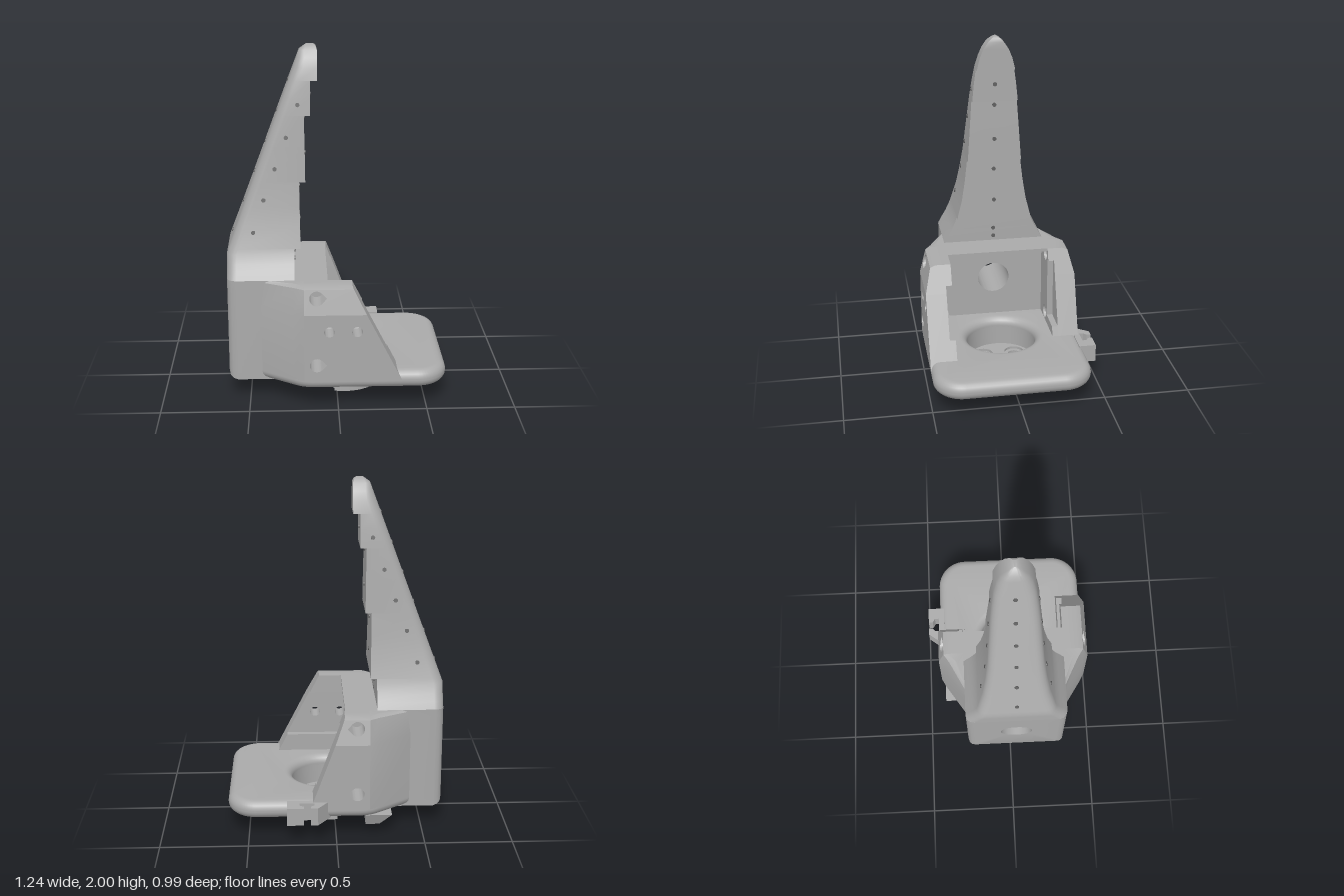
import * as THREE from 'three';
import { toCreasedNormals } from 'three/addons/utils/BufferGeometryUtils.js';

const grey = new THREE.MeshStandardMaterial({ color: 0xaaaaaa });
grey.name = 'grey plastic';
const dark = new THREE.MeshStandardMaterial({ color: 0x606060 });
dark.name = 'dark hole';

const lerp = THREE.MathUtils.lerp;
const HALF = 0.455; // half width of the base
const INNER = 0.30; // half width of the cavity
const HUB_X = 0.045;

// Skin through closed loops of [x, y, z] points, optionally capped at the end
function loft(loops, cap) {
  const all = [...loops];
  if (cap) {
    const last = loops[loops.length - 1];
    const mid = [0, 1, 2].map(k => last.reduce((s, p) => s + p[k], 0) / last.length);
    all.push(last.map(() => mid));
  }
  const n = all[0].length, index = [];
  for (let i = 0; i < all.length - 1; i++) for (let j = 0; j < n; j++) {
    const a = i * n + j, b = i * n + (j + 1) % n;
    index.push(a, b, b + n, a, b + n, a + n);
  }
  const g = new THREE.BufferGeometry();
  g.setAttribute('position', new THREE.Float32BufferAttribute(all.flat(2), 3));
  g.setIndex(index);
  return toCreasedNormals(g, 0.6);
}

const poly = pts => new THREE.Shape(pts.map(p => new THREE.Vector2(p[0], p[1])));

function disc(x, y, r) {
  const p = new THREE.Path();
  p.absarc(x, y, r, 0, Math.PI * 2);
  return p;
}

// Round hole with a point towards +x
function drop(x, y, r) {
  const p = new THREE.Path();
  p.absarc(x, y, r, Math.PI / 4, Math.PI * 7 / 4);
  p.lineTo(x + r * 1.42, y);
  p.closePath();
  return p;
}

// Upright extrusion of a plan shape (shape y is -z)
function flat(shape, y0, y1) {
  const g = new THREE.ExtrudeGeometry(shape, { depth: y1 - y0, bevelEnabled: false, curveSegments: 24 });
  return toCreasedNormals(g.rotateX(-Math.PI / 2).translate(0, y0, 0), 0.5);
}

// Side slab from zIn to a sloping outer face, s = +1 or -1
function slab(shape, s, zIn, outer) {
  const g = new THREE.ExtrudeGeometry(shape, { depth: 1, bevelEnabled: false, curveSegments: 16 });
  const p = g.attributes.position;
  for (let i = 0; i < p.count; i++) {
    const t = s > 0 ? p.getZ(i) : 1 - p.getZ(i);
    p.setZ(i, s * lerp(zIn, outer(p.getY(i)), t));
  }
  return toCreasedNormals(g, 0.4);
}

// Outer half width of the side walls by height
function wallOut(y) {
  if (y <= 0.57) return HALF;
  if (y <= 0.708) return lerp(HALF, 0.42, (y - 0.57) / 0.138);
  return lerp(0.42, 0.39, (y - 0.708) / 0.012);
}
// Sloping front edge of the side walls
const slope = (y, s) => s > 0 ? lerp(0.33, 0.08, (y - 0.23) / 0.49) : lerp(0.13, -0.05, (y - 0.23) / 0.49);

export function createModel() {
  const root = new THREE.Group();
  const body = new THREE.Group();
  body.name = 'body';
  body.position.z = 0.035;
  root.add(body);
  const add = (name, geo, mat = grey) => {
    const m = new THREE.Mesh(geo, mat);
    m.name = name;
    body.add(m);
    return m;
  };

  // Base plate with rounded rim and round pocket
  const plan = new THREE.Shape();
  plan.moveTo(-0.45, -0.28);
  plan.lineTo(-0.43, -0.30);
  plan.lineTo(-0.25, -0.42);
  plan.quadraticCurveTo(-0.2, -HALF, -0.13, -HALF);
  plan.lineTo(0.45, -HALF);
  plan.absarc(0.45, -HALF + 0.17, 0.17, -Math.PI / 2, 0);
  plan.absarc(0.45, HALF - 0.17, 0.17, 0, Math.PI / 2);
  plan.lineTo(-0.13, HALF);
  plan.quadraticCurveTo(-0.2, HALF, -0.25, 0.42);
  plan.lineTo(-0.43, 0.30);
  plan.lineTo(-0.45, 0.28);
  plan.holes.push(disc(HUB_X, 0, 0.205));
  const plate = new THREE.ExtrudeGeometry(plan, {
    depth: 0.005, bevelThickness: 0.05, bevelSize: 0.05, bevelOffset: -0.05, bevelSegments: 5, curveSegments: 20,
  });
  plate.rotateX(-Math.PI / 2).translate(0, 0.17, 0);
  add('basePlate', toCreasedNormals(plate, 0.6));

  // Hub under the plate with a drilled floor
  const ring = [[0.205, 0.17], [0.205, 0.02], [0.227, 0.02], [0.227, 0.12], [0.262, 0.12]];
  const hub = new THREE.LatheGeometry(ring.map(p => new THREE.Vector2(...p)), 64);
  const hubWall = add('hubWall', toCreasedNormals(hub.translate(HUB_X, 0, 0), 0.5), grey.clone());
  hubWall.material = grey;
  const spots = [[0.14, 0.095], [0.14, -0.095], [-0.045, 0.095], [-0.045, -0.095]];
  for (const [y0, y1, r] of [[0.02, 0.035, 0.035], [0.035, 0.05, 0.058]]) {
    const floor = new THREE.Shape().absarc(HUB_X, 0, 0.21, 0, Math.PI * 2);
    floor.holes.push(drop(HUB_X, 0, 0.05), ...spots.map(([x, z]) => drop(x, z, r)));
    add('hubFloor', flat(floor, y0, y1));
  }
  const cut = Math.acos(-0.06 / 0.227);
  const foot = new THREE.Shape().absarc(HUB_X, 0, 0.227, -cut, cut);
  foot.holes.push(drop(HUB_X, 0, 0.05), drop(0.14, 0.095, 0.035), drop(0.14, -0.095, 0.035));
  add('hubFoot', flat(foot, 0, 0.021));

  // Rear block with a round bore along x
  const rect = (x, hw, y0) => {
    const c = [[hw, y0], [hw, 0.72], [-hw, 0.72], [-hw, y0]], out = [];
    for (let k = 0; k < 4; k++) for (let i = 0; i < 14; i++) {
      const a = c[k], b = c[(k + 1) % 4];
      out.push([x, lerp(a[1], b[1], i / 14), lerp(a[0], b[0], i / 14)]);
    }
    return out;
  };
  const full = rect(-0.24, INNER, 0.12);
  const bore = x => full.map(p => {
    const a = Math.atan2(p[1] - 0.47, p[2]);
    return [x, 0.47 + 0.095 * Math.sin(a), 0.095 * Math.cos(a)];
  });
  add('rearBlock', loft([
    full, rect(-0.57, INNER, 0.12), rect(-0.595, 0.293, 0.127), rect(-0.613, 0.275, 0.14),
    rect(-0.62, 0.25, 0.16), bore(-0.62), bore(-0.24), full,
  ]));

  // Stepped horn: [y, half width, front x]
  const horn = [
    [0.72, 0.30, -0.24], [0.76, 0.278, -0.24], [0.80, 0.254, -0.24], [0.85, 0.231, -0.24], [0.88, 0.222, -0.24],
    [0.88, 0.222, -0.205], [1.0, 0.192, -0.207], [1.12, 0.173, -0.208], [1.25, 0.158, -0.21],
    [1.25, 0.158, -0.175], [1.45, 0.144, -0.177], [1.62, 0.132, -0.18],
    [1.62, 0.132, -0.145], [1.72, 0.122, -0.145], [1.81, 0.11, -0.145],
    [1.81, 0.11, -0.105], [1.88, 0.093, -0.105], [1.93, 0.073, -0.105], [1.97, 0.046, -0.105],
    [1.99, 0.024, -0.112], [2.0, 0.008, -0.125],
  ];
  const backX = y => y < 0.85 ? -0.62 : y > 1.97 ? lerp(-0.204, -0.165, (y - 1.97) / 0.03) : lerp(-0.62, -0.204, (y - 0.85) / 1.12);
  add('horn', loft(horn.map(([y, hw, fx]) => {
    const bx = backX(y), r = Math.min(0.055, hw * 0.6, (fx - bx) * 0.6);
    const pts = [[fx, y, hw], [fx, y, -hw]];
    for (const s of [-1, 1]) for (let i = 0; i <= 5; i++) {
      const a = (s < 0 ? i : 5 - i) / 5 * Math.PI / 2;
      pts.push([bx + r - r * Math.sin(a), y, s * (hw - r + r * Math.cos(a))]);
    }
    return pts;
  }), true));

  // Pin holes on the sides, front and back of the horn
  const pin = (x, y, z, dir) => {
    const m = add('pinHole', new THREE.CylinderGeometry(0.012, 0.012, 0.009, 12), dark);
    m.position.set(x, y, z);
    m.quaternion.setFromUnitVectors(new THREE.Vector3(0, 1, 0), new THREE.Vector3(...dir).normalize());
  };
  const width = y => {
    const i = horn.findIndex(h => h[0] > y), a = horn[i - 1], b = horn[i];
    return lerp(a[1], b[1], (y - a[0]) / (b[0] - a[0]));
  };
  for (const [x, y] of [[-0.47, 0.97], [-0.41, 1.15], [-0.345, 1.325], [-0.28, 1.5], [-0.215, 1.68]])
    for (const s of [-1, 1]) pin(x, y, s * width(y), [0, 0.2, s]);
  for (const [x, y] of [[-0.145, 1.72], [-0.176, 1.59], [-0.176, 1.385], [-0.208, 1.19], [-0.207, 0.995], [-0.24, 0.80], [-0.24, 0.75]])
    pin(x, y, 0, [1, 0, 0]);
  for (let i = 0; i < 6; i++) {
    const y = 0.93 + i * 0.175;
    pin(backX(y), y, 0, [-1.12, 0.416, 0]);
  }

  // Side walls with sloping fronts, inner notches and screw holes
  for (const s of [1, -1]) {
    const [n0, n1, nx] = s > 0 ? [0.33, 0.61, -0.1] : [0.28, 0.65, -0.05];
    const screws = [drop(-0.12, 0.27, 0.04), drop(-0.12, 0.66, 0.04)];
    const lining = poly([
      [-0.19, 0.175], [slope(0.175, s), 0.175], [slope(n0, s), n0], [nx, n0],
      [nx, n1], [slope(n1, s), n1], [slope(0.72, s), 0.72], [-0.19, 0.72],
    ]);
    lining.holes.push(...screws);
    add('wallLining', slab(lining, s, INNER, () => INNER + 0.035));
    const bands = [0.175, 0.57, 0.708, 0.72];
    for (let i = 0; i < 3; i++) {
      const [a, b] = [bands[i], bands[i + 1]];
      const panel = poly([[-0.19, a], [slope(a, s), a], [slope(b, s), b], [-0.19, b]]);
      if (i < 2) panel.holes.push(screws[i]);
      if (i === 0 && s > 0) panel.holes.push(disc(-0.05, 0.47, 0.03), disc(0.105, 0.47, 0.03));
      add('sideWall', slab(panel, s, INNER + 0.035, wallOut));
    }
    // Slanted shoulder joining wall and block
    add('shoulder', loft(bands.map((y, i) => {
      const o = wallOut(y), dx = [0, 0, 0.02, 0.05][i];
      const pts = [[-0.43 + dx, y, INNER], [-0.25 + dx / 3, y, o - 0.035], [-0.19, y, o], [-0.19, y, INNER]];
      return s > 0 ? pts : pts.map(p => [p[0], p[1], -p[2]]).reverse();
    }), true));
  }

  // Thin roof over the cavity
  add('roof', new THREE.BoxGeometry(0.185, 0.018, INNER * 2).translate(-0.1475, 0.711, 0));

  // Notched cable clip on the edge of the plate
  const clip = [
    [0.03, 0.43], [0.105, 0.53], [0.145, 0.53], [0.145, 0.505], [0.125, 0.49], [0.125, 0.465],
    [0.21, 0.465], [0.21, 0.49], [0.185, 0.505], [0.185, 0.53], [0.28, 0.53], [0.28, 0.43],
  ];
  add('edgeClip', flat(poly(clip), 0.12, 0.225));

  // Small wedge below the rear corner
  const wedge = poly([[-0.32, 0.13], [-0.25, 0.06], [-0.17, 0.06], [-0.17, 0.13]]);
  add('underClip', slab(wedge, -1, 0.30, y => y < 0.1 ? 0.405 : 0.435));

  return root;
}
